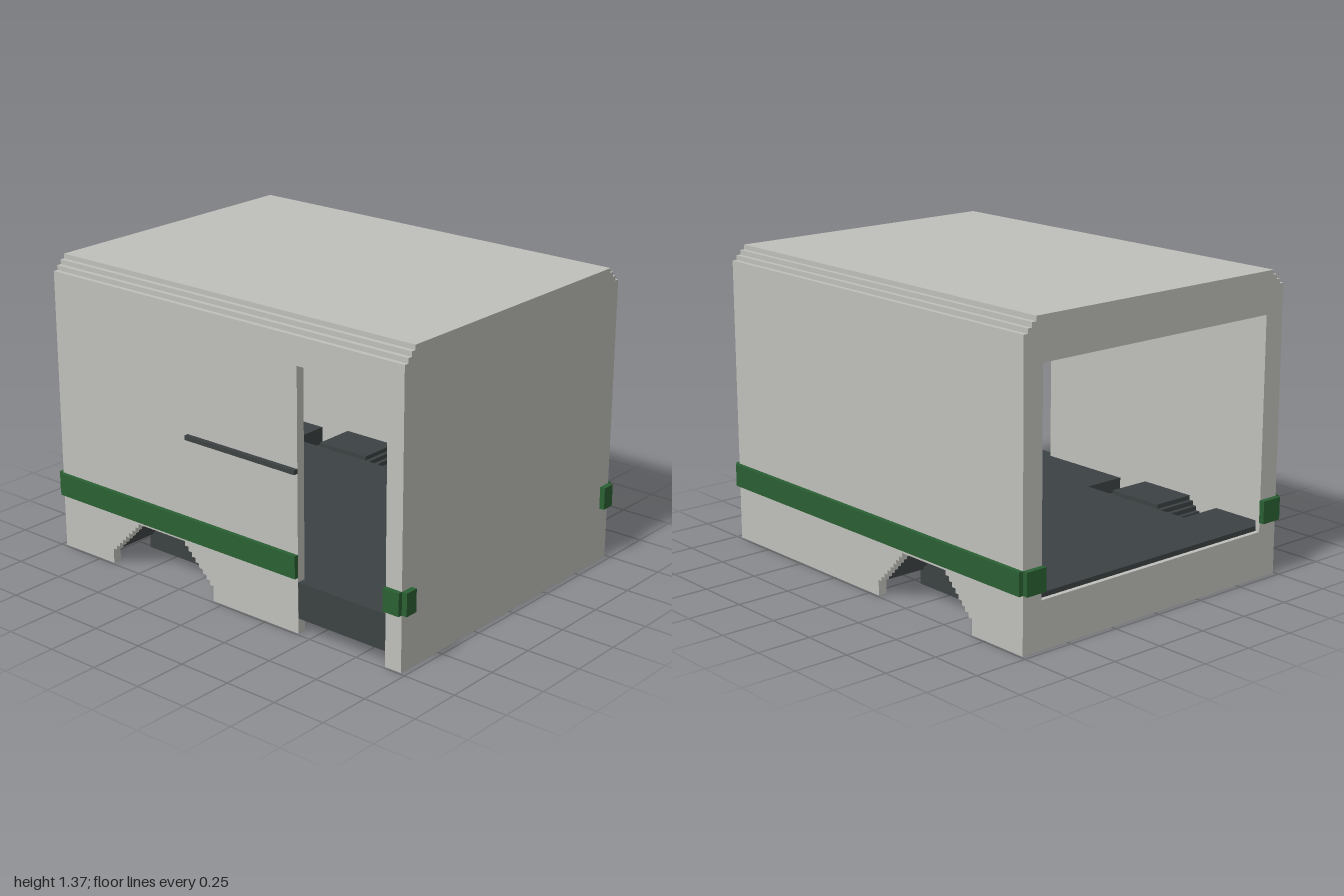
import * as THREE from 'three';

const grey = new THREE.MeshStandardMaterial({ color: 0xbfbfba });
grey.name = 'body grey';
const dark = new THREE.MeshStandardMaterial({ color: 0x3c4243 });
dark.name = 'floor charcoal';
const green = new THREE.MeshStandardMaterial({ color: 0x2a6033 });
green.name = 'stripe green';

const X = 0.975, Z = 0.74, EAVE = 1.305, WALL = 0.041, END = 0.022;
const S = 0.0205;                       // step size of arches and roof edge
const ARCH_L = -0.666, ARCH_R = -0.054, ARCH_Y = 0.071;
const DOOR_L = 0.43, DOOR_R = 0.893, DOOR_TOP = 1.18;
const FLOOR = 0.235, FLOOR_LOW = 0.07, WELL_Z = 0.49;

// stepped wheel arch from left foot to right foot, raised by dy
function archPoints(dy, foot) {
  const left = [[ARCH_L, foot], [ARCH_L, ARCH_Y + dy]];
  for (let i = 1; i <= 8; i++) {
    left.push([ARCH_L + i * S, ARCH_Y + (i - 1) * S + dy], [ARCH_L + i * S, ARCH_Y + i * S + dy]);
  }
  const right = left.map(([x, y]) => [ARCH_L + ARCH_R - x, y]).reverse();
  return left.concat(right);
}

function shapeOf(points) {
  return new THREE.Shape(points.map(([x, y]) => new THREE.Vector2(x, y)));
}

function extrude(shape, depth) {
  return new THREE.ExtrudeGeometry(shape, { depth, bevelEnabled: false });
}

export function createModel() {
  const model = new THREE.Group();
  model.name = 'bodyModule';

  const add = (name, geometry, material) => {
    const mesh = new THREE.Mesh(geometry, material);
    mesh.name = name;
    model.add(mesh);
    return mesh;
  };
  // box given by its limits
  const box = (name, material, x0, x1, y0, y1, z0, z1) => {
    const g = new THREE.BoxGeometry(x1 - x0, y1 - y0, z1 - z0);
    g.translate((x0 + x1) / 2, (y0 + y1) / 2, (z0 + z1) / 2);
    return add(name, g, material);
  };

  // side walls: both have a wheel arch, the front one also a doorway
  const arch = archPoints(0, 0);
  const door = [[DOOR_L, 0], [DOOR_L, DOOR_TOP], [DOOR_R, DOOR_TOP], [DOOR_R, 0]];
  const wallTop = [[X, 0], [X, EAVE], [-X, EAVE]];
  add('frontWall', extrude(shapeOf([[-X, 0], ...arch, ...door, ...wallTop]), WALL)
    .translate(0, 0, Z - WALL), grey);
  add('backWall', extrude(shapeOf([[-X, 0], ...arch, ...wallTop]), WALL)
    .translate(0, 0, -Z), grey);

  // end walls: left closed, right with a large opening
  const inner = Z - WALL;
  box('leftEndWall', grey, X - END, X, 0, EAVE, -inner, inner);
  const end = shapeOf([[-inner, 0], [inner, 0], [inner, EAVE], [-inner, EAVE]]);
  end.holes.push(new THREE.Path([[-0.64, 0.213], [-0.64, DOOR_TOP], [0.64, DOOR_TOP], [0.64, 0.213]]
    .map(([x, y]) => new THREE.Vector2(x, y))));
  add('rightEndWall', extrude(end, END).rotateY(-Math.PI / 2).translate(-X + END, 0, 0), grey);

  // roof stepped in along both long edges
  for (let i = 0; i < 3; i++) {
    const half = Z - (i + 1) * 0.0215;
    box('roofStep', grey, -X, X, EAVE + i * 0.0215, EAVE + (i + 1) * 0.0215, -half, half);
  }

  // floor slab with wheel well cutouts and a tab filling the doorway
  const fx = X - END;
  const floor = shapeOf([
    [-fx, -inner], [ARCH_L, -inner], [ARCH_L, -WELL_Z], [ARCH_R, -WELL_Z], [ARCH_R, -inner],
    [fx, -inner], [fx, inner], [DOOR_R, inner], [DOOR_R, Z - 0.001], [DOOR_L, Z - 0.001], [DOOR_L, inner],
    [ARCH_R, inner], [ARCH_R, WELL_Z], [ARCH_L, WELL_Z], [ARCH_L, inner], [-fx, inner],
  ]);
  add('floor', extrude(floor, FLOOR - FLOOR_LOW).rotateX(Math.PI / 2).translate(0, FLOOR, 0), dark);

  // wheel housings: stepped cover plus an inner plate
  const cover = shapeOf([...archPoints(S, ARCH_Y), ...archPoints(0, ARCH_Y).slice(2, -2).reverse()]);
  const plate = shapeOf(archPoints(S, 0));
  for (const side of [1, -1]) {
    const depth = inner - WELL_Z - S;
    add('wheelHousingCover', extrude(cover, depth)
      .translate(0, 0, side > 0 ? WELL_Z + S : -inner), dark);
    add('wheelHousingPlate', extrude(plate, S)
      .translate(0, 0, side > 0 ? WELL_Z : -WELL_Z - S), dark);
  }

  // green stripe with short returns around the corners
  const y0 = 0.255, y1 = 0.358, zo = Z + 0.02;
  box('frontStripeLong', green, -X, DOOR_L, y0, y1, Z, zo);
  box('frontStripeShort', green, DOOR_R, X, y0, y1, Z, zo);
  box('backStripe', green, -X, X, y0, y1, -zo, -Z);
  for (const side of [1, -1]) {
    const span = (a) => (side > 0 ? [a, Z] : [-Z, -a]);
    box('stripeReturnRight', green, -1, -X, y0, y1, ...span(0.637));
    box('stripeReturnLeft', green, X, 1, y0, y1, ...span(0.677));
  }

  // door slide rail
  box('doorRail', dark, -0.184, DOOR_L, 0.718, 0.739, Z, zo);

  return model;
}
